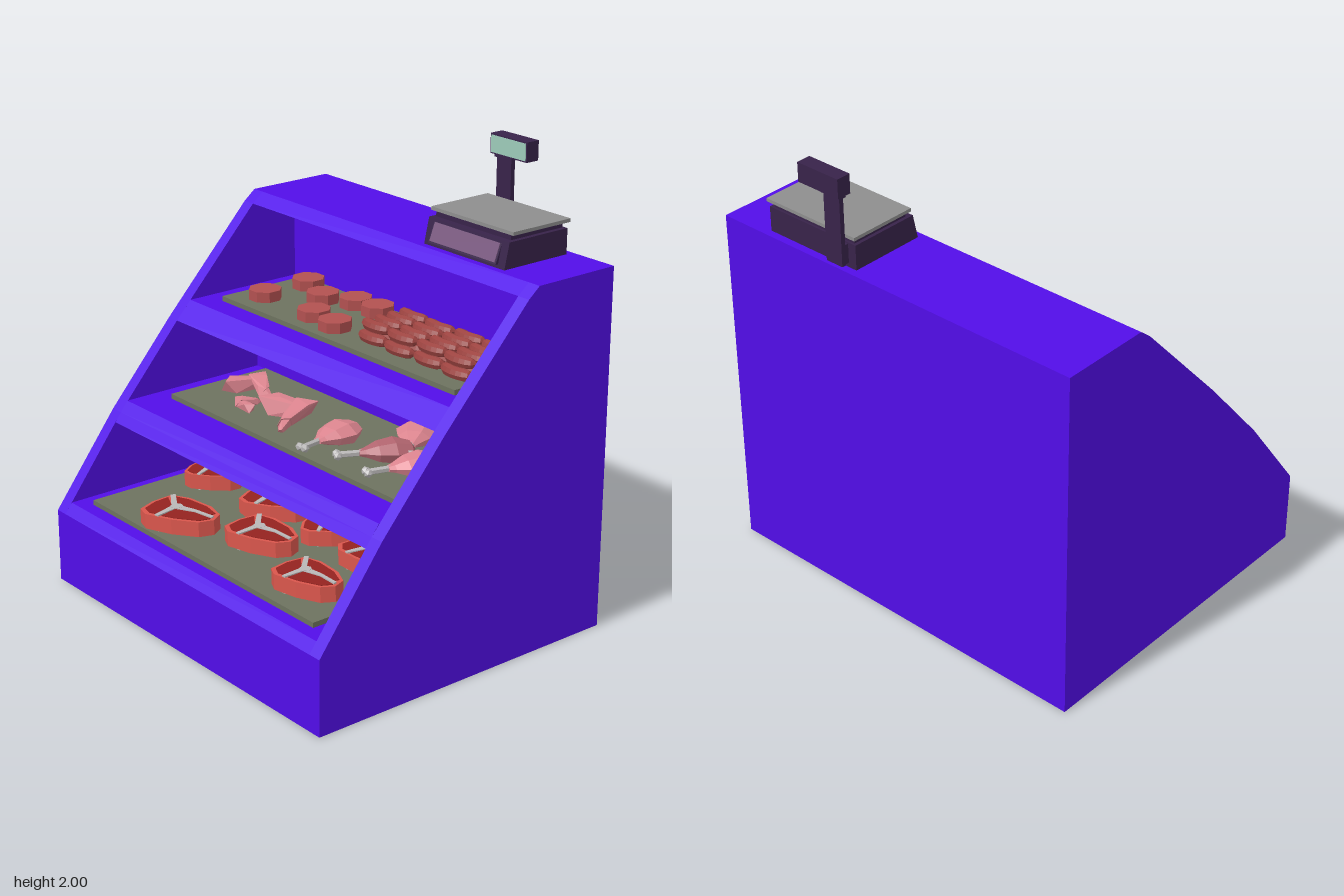
import * as THREE from 'three';
import { ConvexGeometry } from 'three/addons/geometries/ConvexGeometry.js';

const mat = (color) => new THREE.MeshStandardMaterial({ color, flatShading: true });
const M = {
  cabinet: mat(0x520de8), tray: mat(0x6d725f), dark: mat(0x38234a), plate: mat(0x8e8e8e),
  display: mat(0x79587f), mint: mat(0x9ccab9), patty: mat(0xb25150), sausage: mat(0x9c4340),
  poultry: mat(0xdb848e), poultryDark: mat(0xb2656f), bone: mat(0xb9b7b7),
  rim: mat(0xd9564c), beef: mat(0x94231f),
};

function add(parent, name, geometry, material, x = 0, y = 0, z = 0) {
  const mesh = new THREE.Mesh(geometry, material);
  mesh.name = name;
  mesh.position.set(x, y, z);
  parent.add(mesh);
  return mesh;
}

// Box given by its limits on each axis
function box(parent, name, material, x0, x1, y0, y1, z0, z1) {
  return add(parent, name, new THREE.BoxGeometry(x1 - x0, y1 - y0, z1 - z0), material,
    (x0 + x1) / 2, (y0 + y1) / 2, (z0 + z1) / 2);
}

const shapeOf = (pts) => new THREE.Shape(pts.map(([a, b]) => new THREE.Vector2(a, b)));

// Side profile of [z, y] points, extruded across x
function across(pts, x0, x1) {
  return new THREE.ExtrudeGeometry(shapeOf(pts), { depth: x1 - x0, bevelEnabled: false })
    .rotateY(-Math.PI / 2).translate(x1, 0, 0);
}

// Flat plan outline of [x, -z] points, extruded upward
function slab(pts, height) {
  return new THREE.ExtrudeGeometry(shapeOf(pts), { depth: height, bevelEnabled: false }).rotateX(-Math.PI / 2);
}

function makeCabinet() {
  const g = new THREE.Group();
  g.name = 'cabinet';
  const low = [[-0.74, 0], [0.765, 0], [0.765, 0.33]];
  const high = [[-0.275, 1.54], [-0.33, 1.585], [-0.74, 1.585]];
  const side = [...low, [0.46, 0.73], [0.15, 1.085], ...high];
  // Middle section has three shelf recesses cut into its sloping front
  const core = [...low,
    [0.73, 0.375], [0, 0.375], [0, 0.69], [0.49, 0.69],
    [0.46, 0.73], [0.424, 0.775], [-0.29, 0.775], [-0.29, 1.085], [0.15, 1.085],
    [0.075, 1.165], [-0.51, 1.165], [-0.51, 1.54], ...high];
  add(g, 'shelfBody', across(core, -0.845, 0.845), M.cabinet);
  add(g, 'rightSidePanel', across(side, -0.905, -0.845), M.cabinet);
  add(g, 'leftSidePanel', across(side, 0.845, 0.905), M.cabinet);
  box(g, 'topTray', M.tray, -0.745, 0.765, 1.165, 1.187, -0.48, -0.025);
  box(g, 'middleTray', M.tray, -0.745, 0.765, 0.775, 0.797, -0.26, 0.26);
  box(g, 'bottomTray', M.tray, -0.765, 0.75, 0.375, 0.397, 0.02, 0.67);
  return g;
}

function makeScale() {
  const g = new THREE.Group();
  g.name = 'weighingScale';
  add(g, 'scaleBody', across([[-0.705, 1.585], [-0.36, 1.585], [-0.385, 1.695], [-0.705, 1.695]], 0.2, 0.675), M.dark);
  add(g, 'frontPanel', across([[-0.38, 1.6], [-0.35, 1.6], [-0.385, 1.69], [-0.4, 1.69]], 0.235, 0.635), M.dark);
  const screen = add(g, 'frontDisplay', new THREE.BoxGeometry(0.385, 0.08, 0.006), M.display, 0.435, 1.645, -0.367);
  screen.rotation.x = -0.37;
  box(g, 'plateSupport', M.dark, 0.215, 0.655, 1.695, 1.722, -0.695, -0.41);
  box(g, 'weighingPlate', M.plate, 0.195, 0.68, 1.72, 1.735, -0.715, -0.4);
  box(g, 'postBracket', M.dark, 0.24, 0.325, 1.605, 1.69, -0.74, -0.7);
  box(g, 'post', M.dark, 0.24, 0.325, 1.6, 1.92, -0.741, -0.72);
  box(g, 'postCollar', M.dark, 0.232, 0.333, 1.9, 1.92, -0.748, -0.713);
  box(g, 'displayHead', M.dark, 0.22, 0.435, 1.915, 2, -0.765, -0.7);
  box(g, 'customerDisplay', M.mint, 0.226, 0.429, 1.921, 1.994, -0.71, -0.697);
  return g;
}

function makePatties() {
  const g = new THREE.Group();
  g.name = 'patties';
  const geo = new THREE.CylinderGeometry(0.074, 0.074, 0.046, 8).rotateY(Math.PI / 8);
  const spots = [[-0.605, -0.155], [-0.61, -0.4], [-0.415, -0.325], [-0.26, -0.15],
    [-0.095, -0.13], [-0.27, -0.39], [-0.13, -0.395]];
  for (const [x, z] of spots) add(g, 'patty', geo, M.patty, x, 1.21, z);
  return g;
}

// Curved sausage: tube whose ends are drawn in to a blunt tip
function sausageGeometry() {
  const curve = new THREE.QuadraticBezierCurve3(
    new THREE.Vector3(-0.09, 0, -0.022), new THREE.Vector3(0, 0, 0.03), new THREE.Vector3(0.09, 0, -0.022));
  const rings = 8, sides = 8;
  const geo = new THREE.TubeGeometry(curve, rings, 0.026, sides);
  const p = geo.attributes.position, v = new THREE.Vector3();
  for (let i = 0; i < p.count; i++) {
    const t = Math.floor(i / (sides + 1)) / rings;
    const c = curve.getPointAt(t);
    const s = t === 0 || t === 1 ? 0.02 : Math.min(1, 0.62 + 1.5 * Math.min(t, 1 - t));
    v.fromBufferAttribute(p, i).sub(c).multiplyScalar(s).add(c);
    p.setXYZ(i, v.x, v.y, v.z);
  }
  geo.computeVertexNormals();
  return geo;
}

function makeSausages() {
  const g = new THREE.Group();
  g.name = 'sausages';
  const geo = sausageGeometry();
  for (let layer = 0; layer < 2; layer++)
    for (let row = 0; row < 5 - layer; row++)
      for (let col = 0; col < 4; col++)
        add(g, 'sausage', geo, M.sausage, 0.13 + col * 0.172 + (layer ? 0 : 0.02),
          1.212 + layer * 0.038, -0.125 - row * 0.068 - layer * 0.035 + (col % 2) * 0.008);
  return g;
}

// Drumstick pointing from its meat at (x, z) toward its bone tip
function addDrumstick(parent, x, z, tipX, tipZ, material) {
  const g = new THREE.Group();
  g.name = 'drumstick';
  const profile = [[0, -0.12], [0.055, -0.1], [0.09, -0.03], [0.07, 0.04], [0.034, 0.09], [0.022, 0.115], [0, 0.115]];
  const meat = new THREE.LatheGeometry(profile.map(([r, y]) => new THREE.Vector2(r, y)), 7);
  add(g, 'meat', meat.rotateX(Math.PI / 2).scale(1, 0.56, 1), material);
  add(g, 'bone', new THREE.CylinderGeometry(0.014, 0.014, 0.1, 6).rotateX(Math.PI / 2), M.bone, 0, 0, 0.15);
  for (const s of [-1, 1]) add(g, 'boneKnob', new THREE.IcosahedronGeometry(0.019, 0), M.bone, s * 0.014, 0, 0.205);
  g.position.set(x, 0.842, z);
  g.rotation.y = Math.atan2(tipX - x, tipZ - z);
  parent.add(g);
}

// Wing: three faceted joints folded in a zigzag
function addWing(parent, x, z, turn, size, material) {
  const g = new THREE.Group();
  g.name = 'wing';
  const joint = (a, b, ra, rb) => {
    const pts = [];
    for (const [p, r] of [[a, ra], [b, rb]])
      for (let i = 0; i < 5; i++) {
        const t = i * Math.PI * 0.4 + p[0] * 9;
        pts.push(new THREE.Vector3(p[0] + r * Math.cos(t), i % 2 ? 0 : r * 1.4, p[1] + r * Math.sin(t)));
      }
    add(g, 'wingJoint', new ConvexGeometry(pts), material);
  };
  joint([-0.09, 0.05], [0.01, -0.06], 0.045, 0.035);
  joint([0.01, -0.06], [0.08, 0.04], 0.048, 0.03);
  joint([0.08, 0.04], [0.13, 0.07], 0.026, 0.01);
  g.position.set(x, 0.797, z);
  g.rotation.y = turn;
  g.scale.setScalar(size);
  parent.add(g);
}

function makePoultry() {
  const g = new THREE.Group();
  g.name = 'poultry';
  addDrumstick(g, 0.16, 0.07, 0.19, 0.28, M.poultry);
  addDrumstick(g, 0.43, 0.03, 0.34, 0.21, M.poultryDark);
  addDrumstick(g, 0.61, 0.04, 0.55, 0.24, M.poultry);
  addDrumstick(g, 0.38, -0.17, 0.5, -0.02, M.poultry);
  addWing(g, -0.56, -0.04, 0.5, 0.9, M.poultry);
  addWing(g, -0.41, 0.1, 2.2, 0.55, M.poultry);
  addWing(g, -0.19, 0.04, -0.4, 1.15, M.poultry);
  return g;
}

// Steak: rim slab, two lean areas and a T-shaped bone on both faces
function addSteak(parent, x, z, turn, size, y = 0.4) {
  const g = new THREE.Group();
  g.name = 'steak';
  const outline = [[-0.17, 0.1], [-0.175, 0.0], [-0.15, -0.09], [-0.09, -0.115], [0.04, -0.085],
    [0.15, -0.03], [0.18, 0.03], [0.15, 0.09], [0.06, 0.125], [-0.08, 0.13]];
  const leanLarge = [[-0.03, 0.0], [-0.02, -0.085], [0.04, -0.068], [0.14, -0.018], [0.162, 0.03], [0.06, 0.03]];
  const leanSmall = [[-0.155, 0.07], [-0.158, 0.0], [-0.135, -0.075], [-0.085, -0.095], [-0.045, -0.085], [-0.06, 0.01]];
  const leanTop = [[-0.14, 0.095], [-0.06, 0.035], [0.05, 0.055], [0.13, 0.055], [0.135, 0.08], [0.05, 0.108], [-0.07, 0.112]];
  const boneT = [[-0.165, 0.092], [-0.065, 0.01], [-0.045, -0.1], [-0.025, -0.098], [-0.03, 0.0],
    [0.06, 0.032], [0.16, 0.035], [0.155, 0.052], [0.04, 0.05], [-0.055, 0.035], [-0.15, 0.108]];
  add(g, 'fatRim', slab(outline, 0.066), M.rim);
  for (const lean of [leanLarge, leanSmall, leanTop]) add(g, 'leanMeat', slab(lean, 0.072), M.beef, 0, -0.003, 0);
  add(g, 'bone', slab(boneT, 0.076), M.bone, 0, -0.004, 0);
  add(g, 'boneCentre', new THREE.CylinderGeometry(0.028, 0.028, 0.078, 8), M.bone, -0.045, 0.034, -0.022);
  g.position.set(x, y, z);
  g.rotation.y = turn;
  g.rotation.z = 0.04;
  g.scale.set(size, 1, size);
  parent.add(g);
}

function makeSteaks() {
  const g = new THREE.Group();
  g.name = 'steaks';
  addSteak(g, -0.3, 0.54, 0.1, 1);
  addSteak(g, -0.54, 0.19, 0.3, 0.72, 0.415);
  addSteak(g, 0.09, 0.41, -0.05, 0.95, 0.41);
  addSteak(g, -0.15, 0.15, 0.2, 0.9);
  addSteak(g, 0.54, 0.53, -0.1, 0.9, 0.415);
  addSteak(g, 0.21, 0.14, 0.5, 0.72);
  addSteak(g, 0.53, 0.2, -0.3, 0.9, 0.41);
  return g;
}

export function createModel() {
  const model = new THREE.Group();
  model.name = 'meatDisplayCounter';
  model.add(makeCabinet(), makeScale(), makePatties(), makeSausages(), makePoultry(), makeSteaks());
  return model;
}
